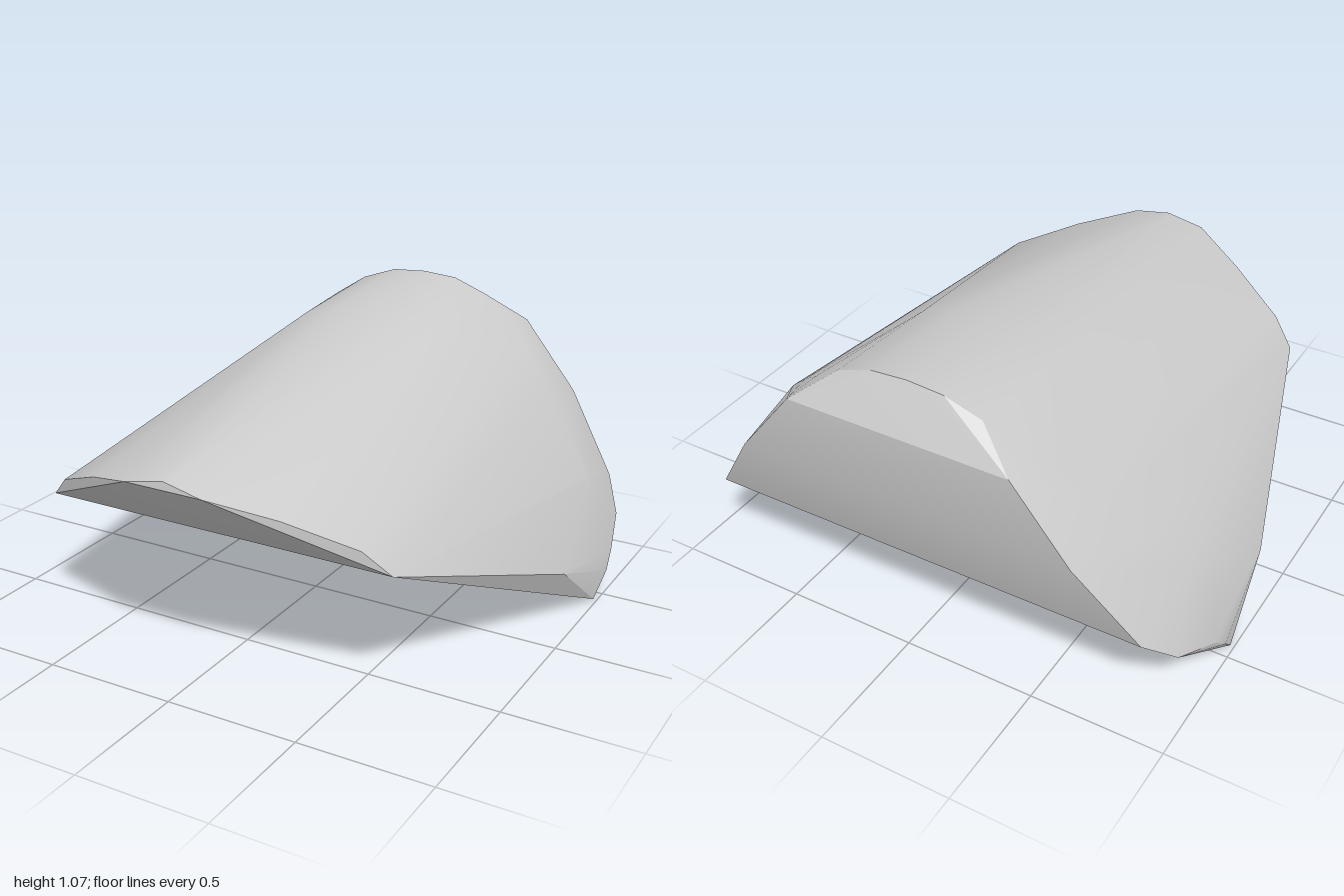
import * as THREE from 'three';
import { ConvexGeometry } from 'three/addons/geometries/ConvexGeometry.js';
import { toCreasedNormals } from 'three/addons/utils/BufferGeometryUtils.js';

// Half outlines (x, y, z); each is mirrored across x
const frontLip = [[0, 0.8, 0.98], [0.15, 0.77, 0.985], [0.37, 0.7, 0.87], [0.6, 0.6, 0.75], [0.69, 0.51, 0.7]];
const rearArch = [
  [0, 1.07, -0.91], [0.14, 1.06, -0.91], [0.28, 1.01, -0.905], [0.4, 0.93, -0.885], [0.5, 0.85, -0.82],
  [0.63, 0.73, -0.74], [0.77, 0.57, -0.65], [0.88, 0.43, -0.6], [0.94, 0.31, -0.56],
];
const crown = [[0, 1.03, -0.42], [0.14, 1.02, -0.42], [0.28, 0.975, -0.42]];
const sides = [[0.99, 0.15, -0.6], [1, 0.09, -0.53], [0.96, 0.22, -0.16], [0.985, 0, -0.44]];
const backPlate = [[0.43, 0.9, -1], [0.65, 0.63, -1], [0.86, 0.33, -0.91], [0.94, 0.22, -0.79]];

export function createModel() {
  const group = new THREE.Group();
  group.name = 'wedgeShell';

  const points = [];
  for (const outline of [frontLip, rearArch, crown, sides, backPlate]) {
    for (const [x, y, z] of outline) {
      points.push(new THREE.Vector3(x, y, z));
      if (x > 0) points.push(new THREE.Vector3(-x, y, z));
    }
  }

  // Closed convex body: arched crown, slanted underside and faceted back
  const body = new THREE.Mesh(
    toCreasedNormals(new ConvexGeometry(points), 0.35),
    new THREE.MeshStandardMaterial({ color: 0xcccccc })
  );
  body.name = 'body';
  group.add(body);
  return group;
}
